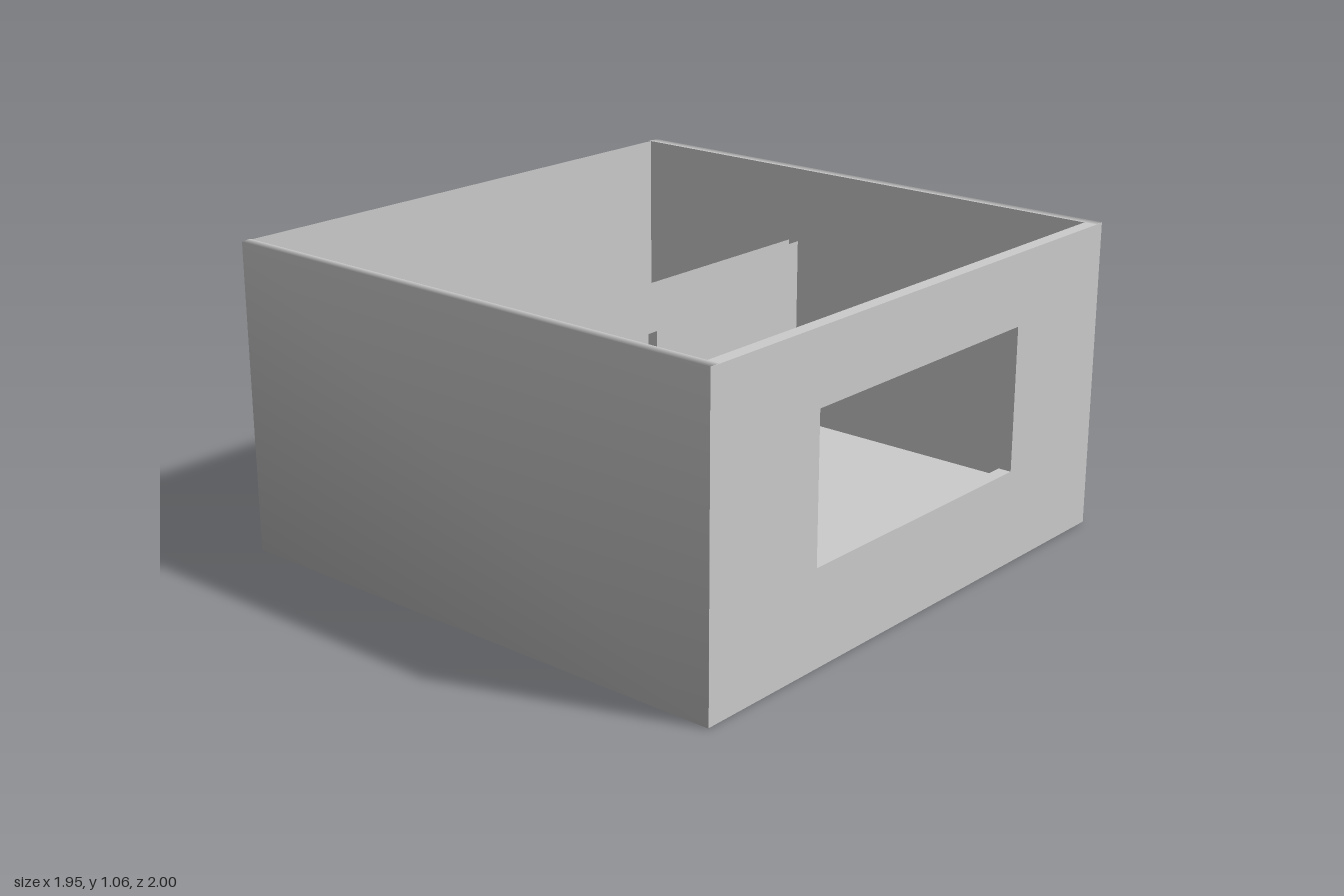
import * as THREE from 'three';

const H = 1.06, FLOOR = 0.1, INNER = 0.96;
const X0 = -0.965, X1 = 0.975;

function mesh(name, geometry, thin = false, flatShading = false) {
  const material = new THREE.MeshStandardMaterial({
    color: 0xcccccc,
    flatShading,
    side: thin ? THREE.DoubleSide : THREE.FrontSide,
  });
  const m = new THREE.Mesh(geometry, material);
  m.name = name;
  return m;
}

// Surface between two point rows, with shared vertices for soft shading
function loft(rowA, rowB) {
  const n = rowA.length, index = [];
  for (let i = 0; i < n - 1; i++) {
    const a = i, b = n + i, c = b + 1, d = a + 1;
    index.push(a, d, c, a, c, b);
  }
  const g = new THREE.BufferGeometry();
  g.setAttribute('position', new THREE.Float32BufferAttribute([...rowA, ...rowB].flat(), 3));
  g.setIndex(index);
  g.computeVertexNormals();
  return g;
}

// Place a [z, y] profile at a given x
const at = (x, profile) => profile.map(([z, y]) => [x, y, z]);

const polygon = (pts) => pts.map(([z, y]) => new THREE.Vector2(z, y));

const rectangle = (z0, y0, z1, y1) => [[z0, y0], [z1, y0], [z1, y1], [z0, y1]];

// Turn a shape drawn in (z, y) so that it stands across the x axis
const across = (geometry, x) => geometry.rotateY(-Math.PI / 2).translate(x, 0, 0);

export function createModel() {
  const room = new THREE.Group();
  room.name = 'room';

  // Outer skin: front, underside, back and the two wall rims in one smooth sheet
  const outer = [[1, H], [1, 0], [-1, 0], [-1, H]];
  const inner = [[INNER, H], [INNER, FLOOR], [-INNER, FLOOR], [-INNER, H]];
  const tip = X0 - 0.01;
  const skin = [inner[0], ...outer, inner[3]];
  const skinLeft = at(X0, skin);
  skinLeft[0][0] = skinLeft[5][0] = tip;
  room.add(mesh('outerShell', loft(skinLeft, at(X1, skin))));

  // Inside of the long walls and the floor
  const lining = [...inner].reverse();
  room.add(mesh('innerWallsAndFloor', loft(at(tip, lining), at(X1 - 0.04, lining)), false, true));

  // Slanted ends of walls and floor
  room.add(mesh('wallEnds', loft(at(tip, inner), at(X0, outer))));

  // End wall with window
  const e = 0.001;
  const endWall = new THREE.Shape(polygon(rectangle(-1 + e, e, 1 - e, H - e)));
  endWall.holes.push(new THREE.Path(polygon(rectangle(-0.515, 0.325, 0.515, 0.815))));
  const endGeometry = new THREE.ExtrudeGeometry(endWall, { depth: 0.045, bevelEnabled: false });
  room.add(mesh('windowWall', across(endGeometry, X1)));

  // Thin closed wall at the opposite end
  const sheet = new THREE.ShapeGeometry(new THREE.Shape(polygon(rectangle(-INNER, FLOOR, INNER, H))));
  room.add(mesh('closedEndWall', across(sheet, X0), true));

  // Hollow partition with a doorway, open along its top
  const partition = new THREE.Group();
  partition.name = 'partition';
  const door = [[-0.18, FLOOR], [-0.18, 0.63], [0.18, 0.63], [0.18, FLOOR]];
  const panel = new THREE.Shape(polygon([
    [-INNER, FLOOR], ...door, [INNER, FLOOR], [INNER, 0.79], [-INNER, 0.79],
  ]));
  for (const x of [-0.29, -0.25]) {
    partition.add(mesh('partitionPanel', across(new THREE.ShapeGeometry(panel), x), true));
  }
  partition.add(mesh('doorLining', loft(at(-0.29, door), at(-0.25, door)), true, true));
  room.add(partition);

  return room;
}
